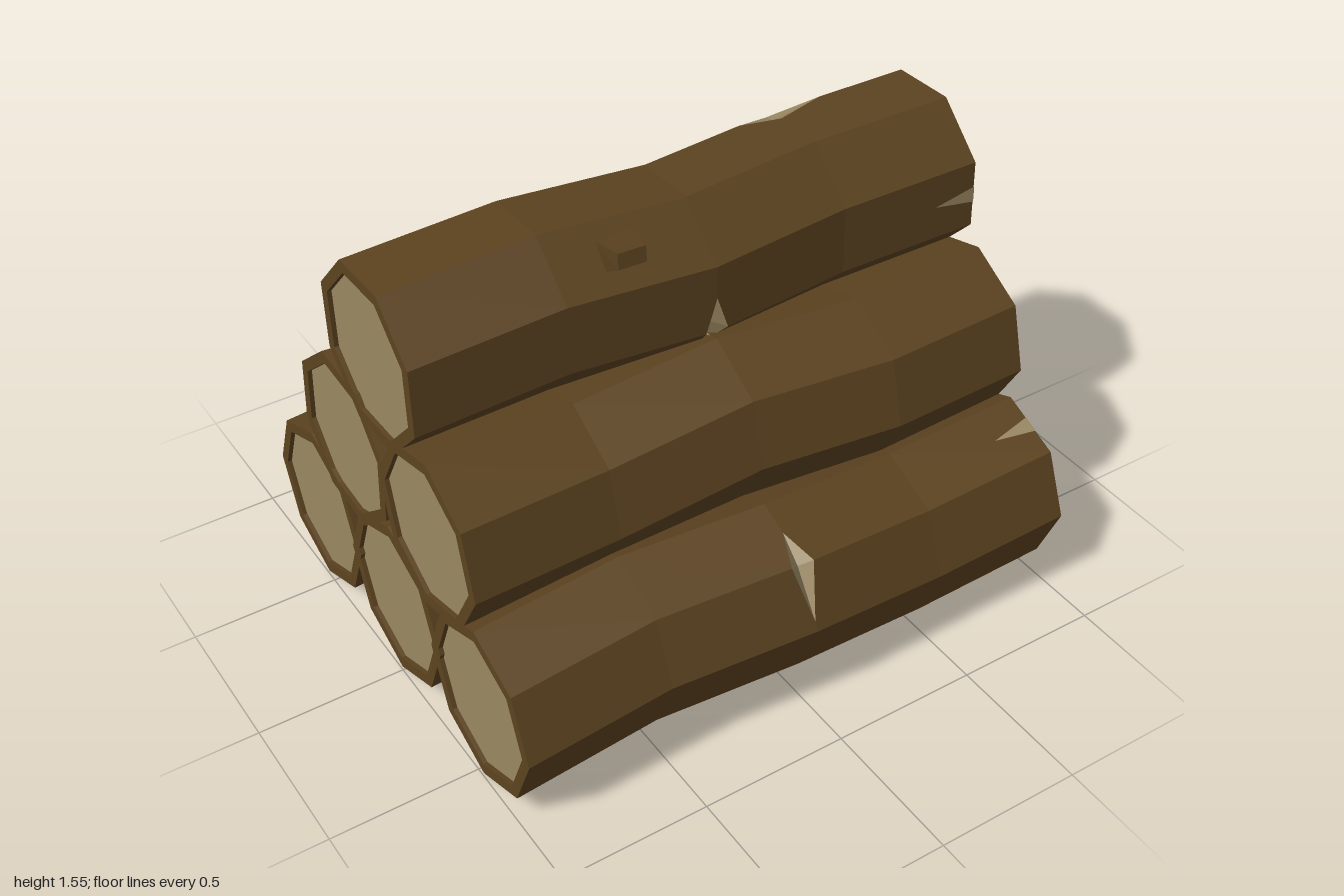
import * as THREE from 'three';

const bark = new THREE.MeshStandardMaterial({ color: 0x5c4320, flatShading: true });
const wood = new THREE.MeshStandardMaterial({ color: 0x9a8862, flatShading: true });

const SIDES = 8, RADIUS = 0.297, INNER = 0.257, RECESS = 0.015;
// Rings along the trunk: x, then the offset of the centre in y and z
const RINGS = [[-1, 0, 0], [-0.5, 0.025, -0.02], [0, 0.025, 0.02], [0.5, -0.015, 0], [1, 0, 0]];
// Chips cut at a trunk vertex: reach towards the neighbours along x and around the trunk
const CHIPS = [
  { i: 2, j: 1, left: 0.08, right: 0.08, up: 0.52, down: 0.85, depth: 0.04 },
  { i: 3, j: 6, left: 0.27, right: 0.36, up: 0.22, down: 0.22, depth: 0.025 },
];

// Point on ring i at side j; angle runs from +y towards +z
function point(i, j, r = RADIUS, dx = 0) {
  const [x, y, z] = RINGS[i], a = (j / SIDES) * Math.PI * 2;
  return new THREE.Vector3(x + dx, y + r * Math.cos(a), z + r * Math.sin(a));
}

function fan(out, pts) {
  for (let k = 1; k < pts.length - 1; k++) out.push(pts[0], pts[k], pts[k + 1]);
}

function meshFrom(points, material, name) {
  const geometry = new THREE.BufferGeometry().setFromPoints(points);
  geometry.computeVertexNormals();
  const mesh = new THREE.Mesh(geometry, material);
  mesh.name = name;
  return mesh;
}

// Point from a chipped vertex part of the way to its neighbour [i, j]
function chipCorner(chip, i, j) {
  const t = i < chip.i ? chip.left : i > chip.i ? chip.right
    : (j - chip.j + SIDES) % SIDES === 1 ? chip.down : chip.up;
  return point(chip.i, chip.j).lerp(point(i, j), t);
}

function barkMesh() {
  const tris = [];
  for (let i = 0; i < RINGS.length - 1; i++) {
    for (let j = 0; j < SIDES; j++) {
      const quad = [[i, j], [i, j + 1], [i + 1, j + 1], [i + 1, j]];
      const outline = [];
      quad.forEach(([a, b], k) => {
        const chip = CHIPS.find(c => c.i === a && c.j === b % SIDES);
        if (!chip) return outline.push(point(a, b));
        outline.push(chipCorner(chip, ...quad[(k + 3) % 4]), chipCorner(chip, ...quad[(k + 1) % 4]));
      });
      fan(tris, outline);
    }
  }
  // Bark rims around both cut ends, with a small step down to the wood
  for (const [i, s] of [[0, -1], [RINGS.length - 1, 1]]) {
    for (let j = 0; j < SIDES; j++) {
      const [a, b] = s > 0 ? [j, j + 1] : [j + 1, j];
      fan(tris, [point(i, a), point(i, b), point(i, b, INNER), point(i, a, INNER)]);
      fan(tris, [point(i, a, INNER), point(i, b, INNER),
        point(i, b, INNER, -s * RECESS), point(i, a, INNER, -s * RECESS)]);
    }
  }
  return meshFrom(tris, bark, 'bark');
}

function endWoodMesh() {
  const tris = [];
  for (const [i, s] of [[0, -1], [RINGS.length - 1, 1]]) {
    const ring = [];
    for (let j = 0; j < SIDES; j++) ring.push(point(i, s * j, INNER, -s * RECESS));
    fan(tris, ring);
  }
  return meshFrom(tris, wood, 'cutEnds');
}

function chipMesh() {
  const tris = [];
  for (const c of CHIPS) {
    const centre = point(c.i, c.j, RADIUS - c.depth);
    const rim = [[c.i - 1, c.j], [c.i, c.j + 1], [c.i + 1, c.j], [c.i, c.j - 1]]
      .map(([i, j]) => chipCorner(c, i, j));
    rim.forEach((p, k) => tris.push(centre, p, rim[(k + 1) % 4]));
  }
  // Splinter mark running in from the right end
  const lift = RADIUS + 0.003, a = point(4, 0, lift), b = point(4, 1, lift);
  const tip = a.clone().lerp(b, 0.5).lerp(point(3, 0, lift).lerp(point(3, 1, lift), 0.5), 0.3);
  tris.push(tip, a.clone().lerp(b, 0.62), a.clone().lerp(b, 0.38));
  return meshFrom(tris, wood, 'chips');
}

// Tapered, leaning branch stub
function stubMesh() {
  const geometry = new THREE.BoxGeometry(0.14, 0.24, 0.11);
  const p = geometry.attributes.position;
  for (let k = 0; k < p.count; k++) {
    if (p.getY(k) < 0) continue;
    p.setX(k, p.getX(k) * 0.62 - 0.06);
    p.setY(k, p.getY(k) - Math.sign(p.getZ(k)) * 0.008 + p.getX(k) * 0.15);
    p.setZ(k, p.getZ(k) * 0.45 - 0.01);
  }
  geometry.computeVertexNormals();
  const mesh = new THREE.Mesh(geometry, bark);
  mesh.name = 'branchStub';
  mesh.position.set(-0.255, 0.315, -0.11);
  return mesh;
}

export function createModel() {
  const model = new THREE.Group();
  model.name = 'logPile';
  const log = new THREE.Group();
  log.add(barkMesh(), endWoodMesh(), chipMesh(), stubMesh());

  // Name, height, depth and roll (degrees) of each log
  const pile = [
    ['bottomFrontLog', 0.317, 0.535, 0],
    ['bottomMiddleLog', 0.317, 0, 0],
    ['bottomBackLog', 0.317, -0.535, 0],
    ['middleFrontLog', 0.78, 0.27, -83],
    ['middleBackLog', 0.77, -0.27, 162],
    ['topLog', 1.24, -0.02, 65.5],
  ];
  for (const [name, y, z, roll] of pile) {
    const copy = log.clone();
    copy.name = name;
    copy.position.set(0, y, z);
    copy.rotation.x = THREE.MathUtils.degToRad(roll);
    model.add(copy);
  }
  return model;
}
